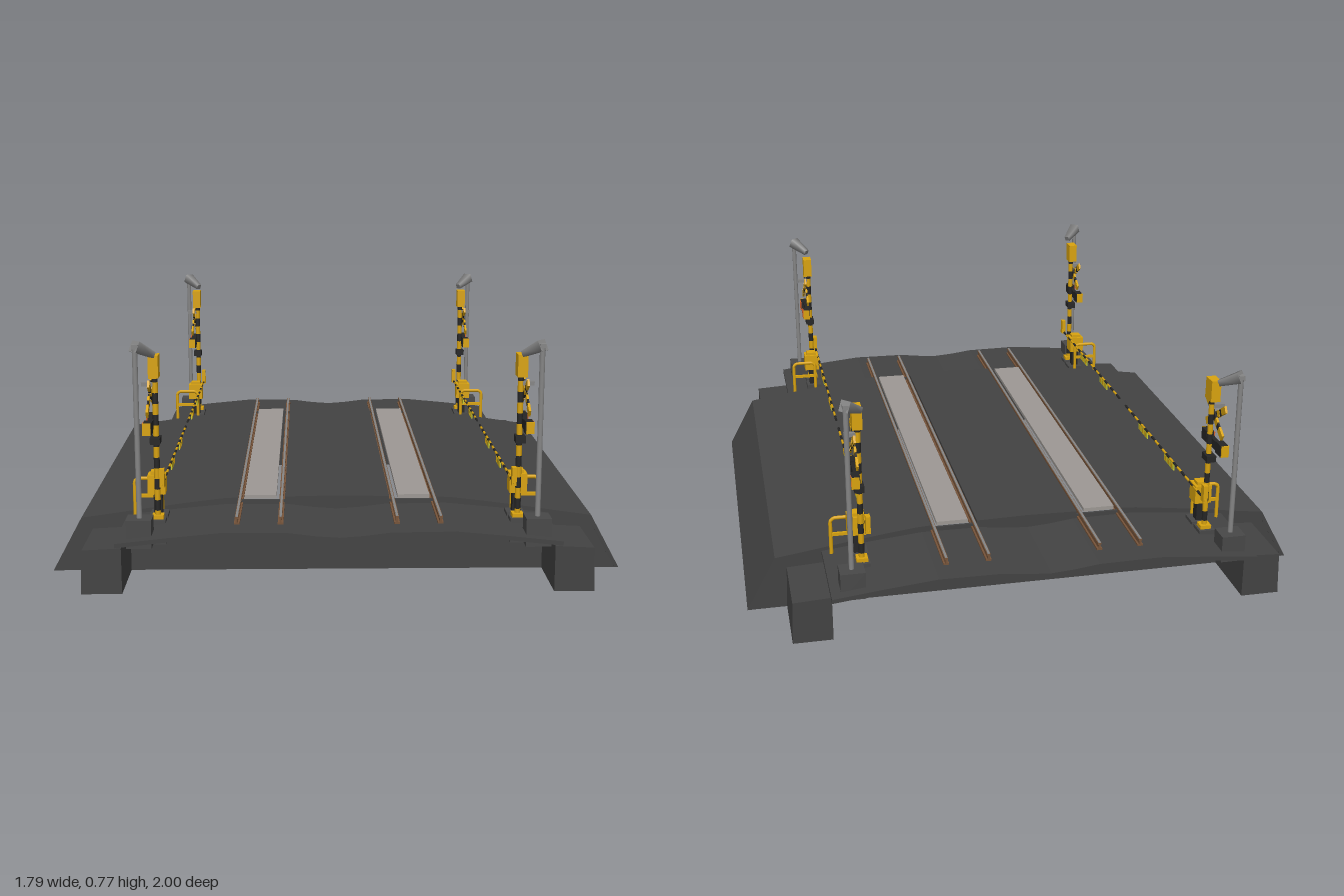
import * as THREE from 'three';

const mat = (name, color, side = THREE.FrontSide) => {
  const m = new THREE.MeshStandardMaterial({ color, side });
  m.name = name;
  return m;
};

export function createModel() {
  const asphalt = mat('asphalt', 0x434343, THREE.DoubleSide);
  const panelGrey = mat('panel concrete', 0x9d9894);
  const footing = mat('footing concrete', 0x484848);
  const steel = mat('steel', 0x858585);
  const rust = mat('rail rust', 0x76543a);
  const yellow = mat('safety yellow', 0xd9a30f);
  const black = mat('black', 0x262626);
  const red = mat('signal red', 0xd5602c);
  const lime = mat('flag lime', 0xc9cc33);

  const root = new THREE.Group();
  root.name = 'railCrossing';

  const add = (parent, name, geo, material, x = 0, y = 0, z = 0) => {
    const m = new THREE.Mesh(geo, material);
    m.name = name;
    m.position.set(x, y, z);
    parent.add(m);
    return m;
  };
  const box = (parent, name, material, w, h, d, x, y, z) =>
    add(parent, name, new THREE.BoxGeometry(w, h, d), material, x, y, z);
  const cyl = (parent, name, material, r, h, x, y, z, sides = 10) =>
    add(parent, name, new THREE.CylinderGeometry(r, r, h, sides), material, x, y, z);
  // Extrude a cross-section in the x-y plane from z0 to z1
  const sweep = (name, pts, z0, z1, material) => {
    const shape = new THREE.Shape(pts.map(p => new THREE.Vector2(...p)));
    const geo = new THREE.ExtrudeGeometry(shape, { depth: z1 - z0, bevelEnabled: false });
    return add(root, name, geo, material, 0, 0, z0);
  };
  const lowered = (pts, t) => [...pts, ...pts.map(([x, y]) => [x, y - t]).reverse()];

  // Road deck: hollow hump with gaps for the rails
  const END = 0.687;
  const side = [[0.80, 0.172], [0.70, 0.186], [0.60, 0.201], [0.46, 0.22], [0.36, 0.232], [0.31, 0.235]];
  for (const s of [-1, 1]) {
    const top = side.map(([x, y]) => [s * x, y]);
    const under = side.map(([x, y]) => [s * (x - 0.008), y - 0.013]).reverse();
    sweep('roadSide', [[s * 0.893, 0], ...top, ...under, [s * 0.88, 0]], -END, END, asphalt);
  }
  sweep('roadCentre', lowered([[-0.163, 0.237], [0, 0.24], [0.163, 0.237]], 0.013), -END, END, asphalt);

  // End walls closing the hump
  const wall = [[-0.885, 0], ...side.map(([x, y]) => [-x, y - 0.008]),
    ...side.map(([x, y]) => [x, y - 0.008]).reverse(), [0.885, 0]];
  for (const s of [-1, 1]) sweep('endWall', wall, s * 0.682 - 0.004, s * 0.682 + 0.004, asphalt);

  // Track beds at both ends, dipping between the two tracks
  const half = [[0.655, 0.182], [0.5, 0.199], [0.34, 0.214], [0.15, 0.212], [0.07, 0.202]];
  const bed = [...half.map(([x, y]) => [-x, y]), [0, 0.197], ...half.slice().reverse()];
  sweep('trackBed', lowered(bed, 0.013), 0.685, 1, asphalt);
  sweep('trackBed', lowered(bed, 0.013), -1, -0.685, asphalt);

  // Rails and the panels between them
  for (const s of [-1, 1]) {
    box(root, 'crossingPanel', panelGrey, 0.1, 0.012, 1.35, s * 0.24, 0.233, 0);
    for (const x of [0.173, 0.303]) {
      box(root, 'railFoot', rust, 0.017, 0.006, 1.83, s * x, 0.216, 0);
      box(root, 'railWeb', rust, 0.006, 0.016, 1.83, s * x, 0.225, 0);
      box(root, 'railHead', rust, 0.011, 0.006, 1.83, s * x, 0.234, 0);
      box(root, 'railTread', steel, 0.007, 0.002, 1.83, s * x, 0.238, 0);
    }
  }

  // Striped bar made of alternating pieces along one axis
  const striped = (parent, name, r, from, to, n, place) => {
    const len = (to - from) / n;
    for (let i = 0; i < n; i++)
      place(cyl(parent, name, i % 2 ? black : yellow, r, Math.abs(len), 0, 0, 0, 8), from + (i + 0.5) * len);
  };

  // Equipment at one corner
  const corner = (sx, sz) => {
    const g = new THREE.Group();
    g.name = 'cornerEquipment';
    root.add(g);
    const b = (name, m, w, h, d, x, y, z) => box(g, name, m, w, h, d, sx * x, y, sz * z);
    const c = (name, m, r, h, x, y, z, n) => cyl(g, name, m, r, h, sx * x, y, sz * z, n);

    // Abutment block and footings
    sweep('abutment', [[sx * 0.648, 0], [sx * 0.77, 0], [sx * 0.765, 0.136], [sx * 0.648, 0.142]],
      sz > 0 ? 0.685 : -0.915, sz > 0 ? 0.915 : -0.685, asphalt);
    b('lampFooting', footing, 0.075, 0.085, 0.068, 0.588, 0.198, 0.931);
    b('mastFooting', footing, 0.052, 0.075, 0.055, 0.547, 0.17, 0.82);
    b('machineFooting', footing, 0.055, 0.075, 0.06, 0.547, 0.17, 0.75);

    // Lamp post with a tilted head
    c('lampPost', steel, 0.008, 0.51, 0.588, 0.495, 0.93);
    b('lampPostCap', steel, 0.018, 0.012, 0.018, 0.588, 0.75, 0.93);
    const head = add(g, 'lampHead', new THREE.CylinderGeometry(0.013, 0.024, 0.075, 4, 1).rotateY(Math.PI / 4)
      .rotateX(Math.PI / 2), steel, sx * 0.566, 0.734, sz * 0.903);
    head.lookAt(sx * 0.50, 0.689, sz * 0.837);

    // Striped signal mast with cabinet and horn
    striped(g, 'signalMast', 0.009, 0.2, 0.66, 14, (m, y) => m.position.set(sx * 0.545, y, sz * 0.82));
    b('mastCabinet', yellow, 0.03, 0.068, 0.05, 0.547, 0.675, 0.82);
    b('hornArm', steel, 0.035, 0.012, 0.014, 0.568, 0.62, 0.82);
    b('mastClamp', black, 0.03, 0.02, 0.045, 0.547, 0.45, 0.82);
    b('mastFlange', yellow, 0.035, 0.012, 0.035, 0.545, 0.214, 0.82);

    // Crossed warning boards, black in the middle and striped outwards
    for (const a of [-1, 1]) {
      const board = new THREE.Group();
      board.name = 'crossBoard';
      board.position.set(sx * (0.559 + a * 0.003), 0.588, sz * 0.82);
      board.rotation.x = a * 0.56;
      g.add(board);
      box(board, 'boardCore', black, 0.005, 0.021, 0.17, 0, 0, 0);
      for (const e of [-1, 1]) {
        box(board, 'boardTip', yellow, 0.007, 0.022, 0.035, 0, 0, e * 0.07);
        box(board, 'boardStripe', yellow, 0.007, 0.022, 0.02, 0, 0, e * 0.026);
      }
    }

    // Pair of warning lamps
    b('lampBar', black, 0.014, 0.028, 0.15, 0.558, 0.5, 0.82);
    for (const e of [-1, 1]) {
      b('lampBox', black, 0.024, 0.037, 0.042, 0.562, 0.5, 0.82 + e * 0.06);
      b('lampFace', red, 0.004, 0.03, 0.034, 0.576, 0.5, 0.82 + e * 0.055);
      b('lampEdge', yellow, 0.024, 0.036, 0.006, 0.564, 0.5, 0.82 + e * 0.082);
    }

    // Barrier machine, counterweight and arm
    b('machinePost', black, 0.026, 0.06, 0.03, 0.55, 0.235, 0.755);
    b('machineBox', yellow, 0.054, 0.06, 0.052, 0.553, 0.3, 0.753);
    b('machineLid', yellow, 0.036, 0.012, 0.034, 0.553, 0.334, 0.753);
    b('counterweight', yellow, 0.014, 0.055, 0.024, 0.527, 0.342, 0.852);
    striped(g, 'barrierArm', 0.004, 0.87, 0.038, 22, (m, z) => {
      m.rotation.x = Math.PI / 2;
      m.position.set(sx * 0.527, 0.322, sz * z);
    });
    for (const z of [0.523, 0.247]) {
      b('armFlag', lime, 0.004, 0.023, 0.096, 0.527, 0.307, z);
      for (let i = -1; i <= 1; i++) b('flagStripe', yellow, 0.006, 0.017, 0.014, 0.527, 0.307, z + i * 0.03);
    }

    // Guard hoop beside the machine
    const pts = [[0.543, 0.19], [0.543, 0.295], [0.553, 0.305], [0.617, 0.305], [0.627, 0.295], [0.627, 0.18]]
      .map(([x, y]) => new THREE.Vector3(sx * x, y, sz * 0.715));
    const path = new THREE.CurvePath();
    for (let i = 0; i < pts.length - 1; i++) path.add(new THREE.LineCurve3(pts[i], pts[i + 1]));
    add(g, 'guardHoop', new THREE.TubeGeometry(path, 40, 0.006, 8), yellow);
    b('guardRail', yellow, 0.084, 0.01, 0.008, 0.585, 0.25, 0.715);
  };
  for (const sx of [-1, 1]) for (const sz of [-1, 1]) corner(sx, sz);

  return root;
}
